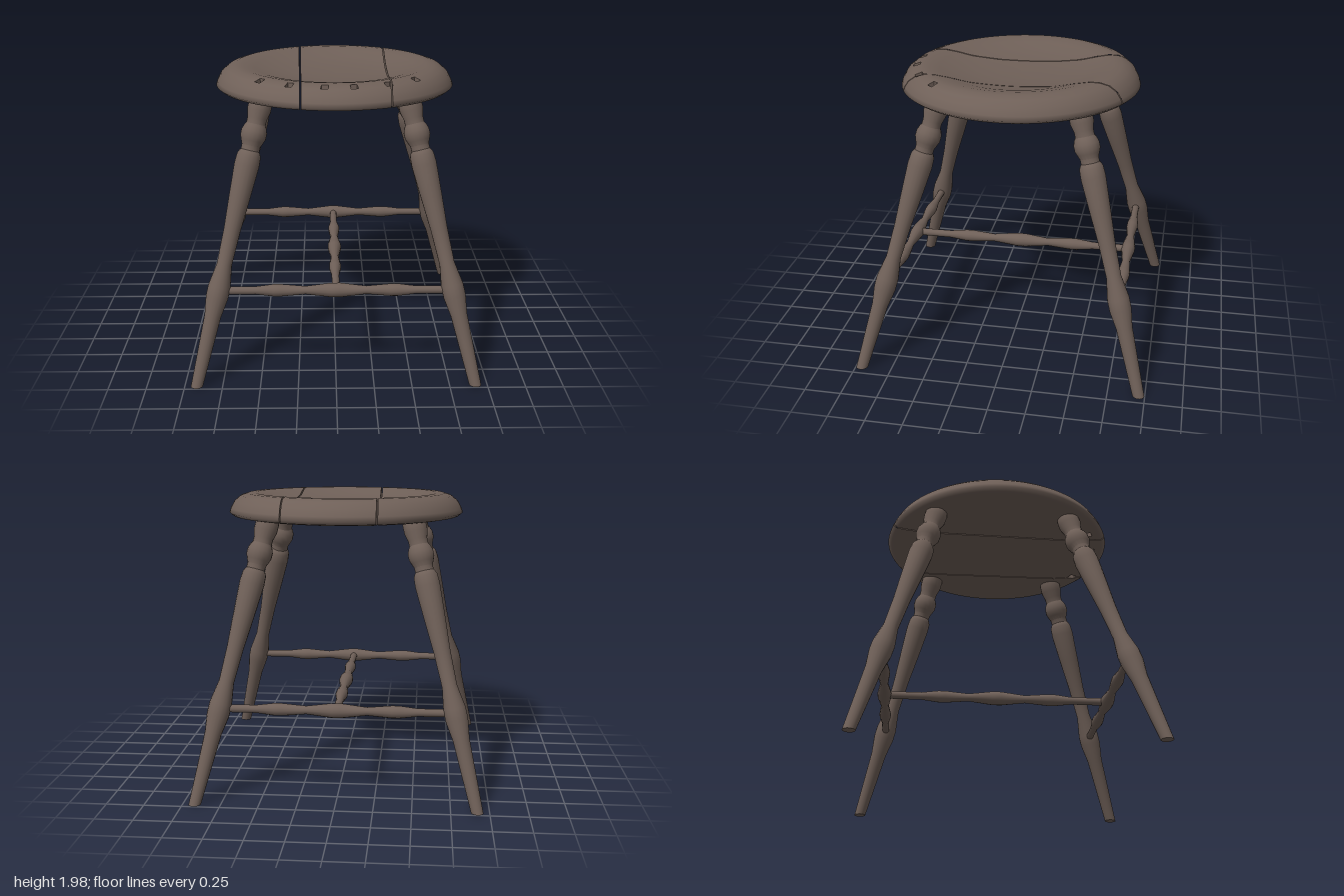
import * as THREE from 'three';
import { toCreasedNormals } from 'three/addons/utils/BufferGeometryUtils.js';

const wood = new THREE.MeshStandardMaterial({ color: 0x6f6058 });
wood.name = 'dark brown wood';

const V2 = (a) => a.map(([x, y]) => new THREE.Vector2(x, y));

// Seat section as [radius, height], underside then dished top
const under = [[0, 1.795], [0.6, 1.795], [0.685, 1.805], [0.735, 1.81], [0.79, 1.82], [0.815, 1.84]];
const upper = [[0.815, 1.84], [0.805, 1.87], [0.78, 1.915], [0.735, 1.952], [0.685, 1.968], [0.63, 1.97],
  [0.55, 1.955], [0.45, 1.928], [0.3, 1.908], [0.15, 1.9], [0, 1.898]];
const SEGS = 96;

function heightAt(line, r) {
  for (let i = 0; i + 1 < line.length; i++) {
    const [r0, y0] = line[i], [r1, y1] = line[i + 1];
    if ((r - r0) * (r - r1) <= 0) return y0 + (y1 - y0) * (r - r0) / (r1 - r0);
  }
  return 1.84;
}

// Corner with position and normal
const corner = (p, n) => ({ p, n });

function addQuad(tris, a, b, c, d) {
  const n = new THREE.Vector3().subVectors(c, a).cross(new THREE.Vector3().subVectors(d, b)).normalize();
  const q = [a, b, c, d].map((p) => corner(p, n));
  tris.push([q[0], q[1], q[2]], [q[0], q[2], q[3]]);
}

// Whole seat as triangles, with six holes drilled near the front rim
function seatTriangles() {
  const profile = V2([...under, ...upper.slice(1)]);
  const g = new THREE.LatheGeometry(profile, SEGS);
  const pos = g.attributes.position, nor = g.attributes.normal, idx = g.index.array;
  const vert = (i) => corner(new THREE.Vector3().fromBufferAttribute(pos, i), new THREE.Vector3().fromBufferAttribute(nor, i));
  const rows = profile.length - 1;
  const holes = [-42.7, -25.1, -6.5, 11.2, 28.4, 45].map((d) => (Math.floor(d / 360 * SEGS) + SEGS) % SEGS);
  const lower = 2, top = under.length + 2;
  const tris = [];
  for (let t = 0; t < idx.length; t += 3) {
    const cell = Math.floor(t / 6), seg = Math.floor(cell / rows), row = cell % rows;
    if (holes.includes(seg) && (row === lower || row === top)) continue;
    tris.push([vert(idx[t]), vert(idx[t + 1]), vert(idx[t + 2])]);
  }
  // Walls of the holes
  for (const h of holes) {
    const ring = [[0.685, h], [0.735, h], [0.735, h + 1], [0.685, h + 1]].map(([r, s]) => {
      const a = s / SEGS * Math.PI * 2;
      return [heightAt(under, r), heightAt(upper, r)].map((y) => new THREE.Vector3(r * Math.sin(a), y, r * Math.cos(a)));
    });
    ring.forEach((a, i) => {
      const b = ring[(i + 1) % 4];
      addQuad(tris, b[0], a[0], a[1], b[1]);
    });
  }
  return tris;
}

// Keep the part of the seat on one side of the saw cut x = c + k z, and close the cut
function sawCut(tris, c, k, side) {
  const dist = (v) => side * (v.p.x - c - k * v.p.z);
  const out = [];
  for (const t of tris) {
    const poly = [];
    t.forEach((a, i) => {
      const b = t[(i + 1) % 3], da = dist(a), db = dist(b);
      if (da <= 0) poly.push(a);
      if ((da <= 0) !== (db <= 0)) {
        const f = da / (da - db);
        poly.push(corner(a.p.clone().lerp(b.p, f), a.n.clone().lerp(b.n, f).normalize()));
      }
    });
    for (let i = 1; i + 1 < poly.length; i++) out.push([poly[0], poly[i], poly[i + 1]]);
  }
  const end = Math.sqrt(0.815 ** 2 - c * c), N = 40;
  const at = (i, line) => {
    const z = end * Math.sin((i / N - 0.5) * Math.PI), x = c + k * z;
    return new THREE.Vector3(x, heightAt(line, Math.min(0.815, Math.hypot(x, z))), z);
  };
  for (let i = 0; i < N; i++) {
    const a = at(i, under), b = at(i + 1, under), d = at(i + 1, upper), e = at(i, upper);
    if (side > 0) addQuad(out, b, a, e, d);
    else addQuad(out, a, b, d, e);
  }
  return out;
}

function plank(name, tris) {
  const p = [], n = [];
  for (const v of tris.flat()) {
    // Slight rise of the top toward the back
    p.push(v.p.x, v.p.y - 0.012 * v.p.z * (v.p.y - 1.79) / 0.18, v.p.z);
    n.push(v.n.x, v.n.y, v.n.z);
  }
  const g = new THREE.BufferGeometry();
  g.setAttribute('position', new THREE.Float32BufferAttribute(p, 3));
  g.setAttribute('normal', new THREE.Float32BufferAttribute(n, 3));
  const m = new THREE.Mesh(g, wood);
  m.name = name;
  return m;
}

// Turned leg: [height, radius]
const legProfile = [[0, 0], [0, 0.039], [0.45, 0.055], [0.57, 0.074], [0.64, 0.074], [0.78, 0.05], [1.0, 0.056],
  [1.2, 0.07], [1.41, 0.083], [1.47, 0.079], [1.49, 0.07], [1.5, 0.062], [1.53, 0.062], [1.56, 0.075],
  [1.585, 0.085], [1.62, 0.085], [1.65, 0.074], [1.665, 0.064], [1.7, 0.064], [1.75, 0.078], [1.8, 0.078], [1.83, 0.07], [1.83, 0]];

function leg(name, sx, sz) {
  const foot = new THREE.Vector3(0.92 * sx, 0, 0.957 * sz);
  const dir = new THREE.Vector3(0.485 * sx, 1.8, 0.47 * sz).sub(foot);
  const stretch = dir.length() / 1.8;
  dir.normalize();
  const g = new THREE.LatheGeometry(V2(legProfile.map(([y, r]) => [r, y * stretch])), 18);
  const pos = g.attributes.position, v = new THREE.Vector3();
  const turn = new THREE.Quaternion().setFromUnitVectors(new THREE.Vector3(0, 1, 0), dir);
  for (let i = 0; i < pos.count; i++) {
    v.fromBufferAttribute(pos, i);
    const atFoot = v.y === 0;
    v.applyQuaternion(turn).add(foot);
    // Foot trimmed level with the floor
    if (atFoot) v.addScaledVector(dir, -v.y / dir.y);
    pos.setXYZ(i, v.x, v.y, v.z);
  }
  const m = new THREE.Mesh(toCreasedNormals(g, 0.5), wood);
  m.name = name;
  return m;
}

// Turned stretcher with a centre swell and two smaller ones
function stretcher(name, half) {
  const side = [[0.03, 0.048], [0.2, 0.027], [0.36, 0.041], [0.41, 0.041], [0.53, 0.026], [half, 0.026]];
  const line = [...side.map(([x, r]) => [r, -x]).reverse(), ...side.map(([x, r]) => [r, x])];
  const m = new THREE.Mesh(new THREE.LatheGeometry(V2(line), 14), wood);
  m.name = name;
  m.position.y = 0.61;
  return m;
}

export function createModel() {
  const stool = new THREE.Group();
  stool.name = 'stool';

  // Seat of three planks
  const seat = new THREE.Group();
  seat.name = 'seat';
  const disc = seatTriangles();
  const middle = sawCut(sawCut(disc, 0.356, -0.01, 1), -0.233, 0.0215, -1);
  // Trim the saw-cut faces of the middle plank to its own width
  seat.add(
    plank('rightPlank', sawCut(disc, -0.243, 0.0215, 1)),
    plank('middlePlank', middle),
    plank('leftPlank', sawCut(disc, 0.364, -0.01, -1)),
  );
  stool.add(seat);

  // Four splayed legs
  for (const sx of [1, -1]) for (const sz of [1, -1]) {
    stool.add(leg((sz > 0 ? 'front' : 'back') + (sx > 0 ? 'Left' : 'Right') + 'Leg', sx, sz));
  }

  // Front and back stretchers joined by a cross stretcher
  for (const sz of [1, -1]) {
    const s = stretcher(sz > 0 ? 'frontStretcher' : 'backStretcher', 0.76);
    s.rotation.z = Math.PI / 2;
    s.position.z = 0.787 * sz;
    stool.add(s);
  }
  const cross = stretcher('crossStretcher', 0.77);
  cross.rotation.x = Math.PI / 2;
  stool.add(cross);
  return stool;
}
